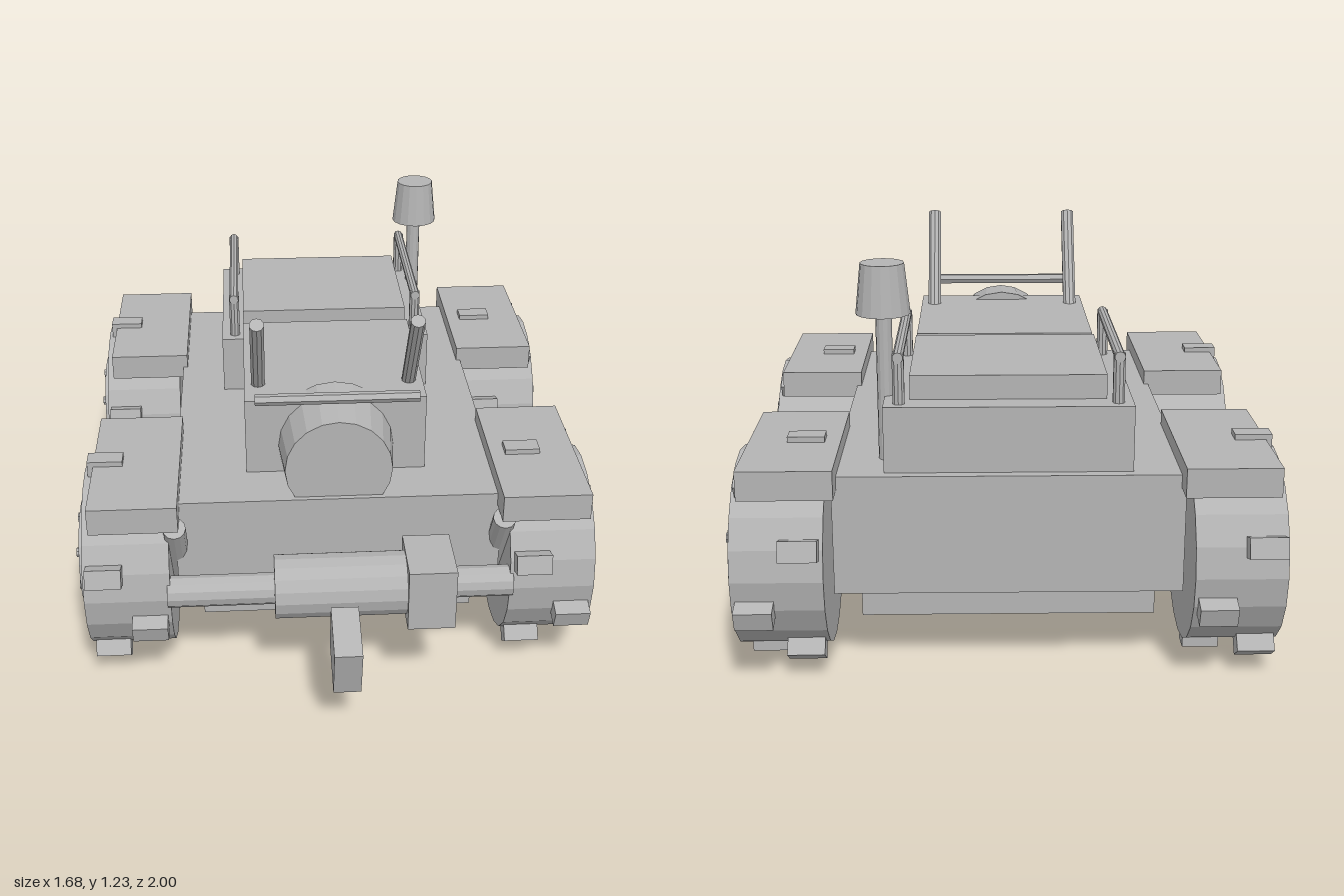
import * as THREE from 'three';

export function createModel() {
  const model = new THREE.Group();
  model.name = 'offRoadVehicle';
  const grey = new THREE.MeshStandardMaterial({ color: 0xb4b4b4 });
  grey.name = 'plain grey';

  const add = (name, geo, parent = model) => {
    const flat = geo.index ? geo.toNonIndexed() : geo;
    flat.computeVertexNormals();
    const mesh = new THREE.Mesh(flat, grey);
    mesh.name = name;
    parent.add(mesh);
    return mesh;
  };

  // Box given by its limits on each axis
  const box = (name, [x0, x1], [y0, y1], [z0, z1], parent) => {
    const mesh = add(name, new THREE.BoxGeometry(x1 - x0, y1 - y0, z1 - z0), parent);
    mesh.position.set((x0 + x1) / 2, (y0 + y1) / 2, (z0 + z1) / 2);
    return mesh;
  };

  // Round bar from point a (radius ra) to point b (radius rb)
  const bar = (name, a, b, ra, rb = ra, sides = 10, parent = model) => {
    const from = new THREE.Vector3(...a);
    const dir = new THREE.Vector3(...b).sub(from);
    const mesh = add(name, new THREE.CylinderGeometry(rb, ra, dir.length(), sides), parent);
    mesh.position.copy(from).addScaledVector(dir, 0.5);
    mesh.quaternion.setFromUnitVectors(new THREE.Vector3(0, 1, 0), dir.normalize());
    return mesh;
  };

  // Body
  box('chassis', [-0.44, 0.44], [0.17, 0.4], [-0.8, 0.5]);
  box('hull', [-0.515, 0.515], [0.27, 0.635], [-0.865, 0.56]);
  box('hood', [-0.288, 0.288], [0.6, 0.893], [-0.2, 0.383]);
  box('rearDeck', [-0.363, 0.363], [0.6, 0.833], [-0.833, -0.195]);
  box('rearHatch', [-0.288, 0.288], [0.8, 0.906], [-0.755, -0.27]);
  bar('headlamp', [0, 0.73, 0.315], [0, 0.73, 0.543], 0.19, 0.168, 20);

  // Mast with a tapered cap
  bar('mast', [0.362, 0.6, -0.695], [0.362, 1.1, -0.695], 0.024, 0.024, 12);
  bar('mastCap', [0.363, 1.078, -0.695], [0.363, 1.227, -0.695], 0.08, 0.064, 16);

  // Winch, bumper and hook
  bar('winchDrum', [-0.21, 0.407, 0.695], [0.2, 0.407, 0.695], 0.1, 0.1, 16);
  box('winchGearbox', [0.197, 0.345], [0.305, 0.512], [0.595, 0.805]);
  bar('bumper', [-0.545, 0.36, 0.64], [0.545, 0.36, 0.64], 0.05, 0.05, 12);
  const hook = add('hook', new THREE.BoxGeometry(0.085, 0.18, 0.183));
  hook.position.set(0, 0.302, 0.888);
  hook.rotation.x = 0.27;

  // Wheel with hub, bolts and staggered tread blocks
  function wheel(x, z) {
    const g = new THREE.Group();
    g.name = 'wheel';
    g.position.set(x, 0.35, z);
    model.add(g);
    const out = Math.sign(x);
    bar('tyre', [-0.135, 0, 0], [0.135, 0, 0], 0.302, 0.302, 20, g);
    bar('hub', [0, 0, 0], [out * 0.158, 0, 0], 0.18, 0.18, 20, g);
    for (let i = 0; i < 6; i++) {
      const a = (i * Math.PI) / 3;
      const y = 0.126 * Math.cos(a), w = 0.126 * Math.sin(a);
      bar('hubBolt', [out * 0.14, y, w], [out * 0.17, y, w], 0.016, 0.016, 8, g);
    }
    for (let i = 0; i < 10; i++) {
      const spoke = new THREE.Group();
      spoke.name = 'tread';
      spoke.rotation.x = (i * Math.PI) / 5;
      const dx = i % 2 ? -0.067 : 0.067;
      box('treadBlock', [dx - 0.056, dx + 0.056], [-0.35, -0.27], [-0.031, 0.031], spoke);
      g.add(spoke);
    }
  }

  // Paired parts
  for (const s of [1, -1]) {
    const span = (a, b) => (s > 0 ? [a, b] : [-b, -a]);
    for (const [wheelZ, z0, z1] of [[0.372, 0.085, 0.66], [-0.662, -0.95, -0.38]]) {
      wheel(s * 0.67, wheelZ);
      box('fender', span(0.5, 0.775), [0.595, 0.683], [z0, z1]);
    }
    const railX = s * 0.318;
    for (const z of [-0.24, -0.79]) {
      bar('railPost', [railX, 0.82, z], [railX, 0.98, z], 0.018);
    }
    bar('rail', [railX, 0.972, -0.222], [railX, 0.972, -0.808], 0.016);
    bar('hoodLever', [s * 0.243, 0.86, 0.24], [s * 0.243, 1.19, 0.455], 0.023);
    bar('shockAbsorber', [s * 0.515, 0.25, 0.41], [s * 0.515, 0.58, 0.615], 0.036, 0.036, 12);
  }
  bar('handleBar', [-0.255, 0.94, 0.463], [0.255, 0.94, 0.463], 0.018, 0.018, 6);

  return model;
}
